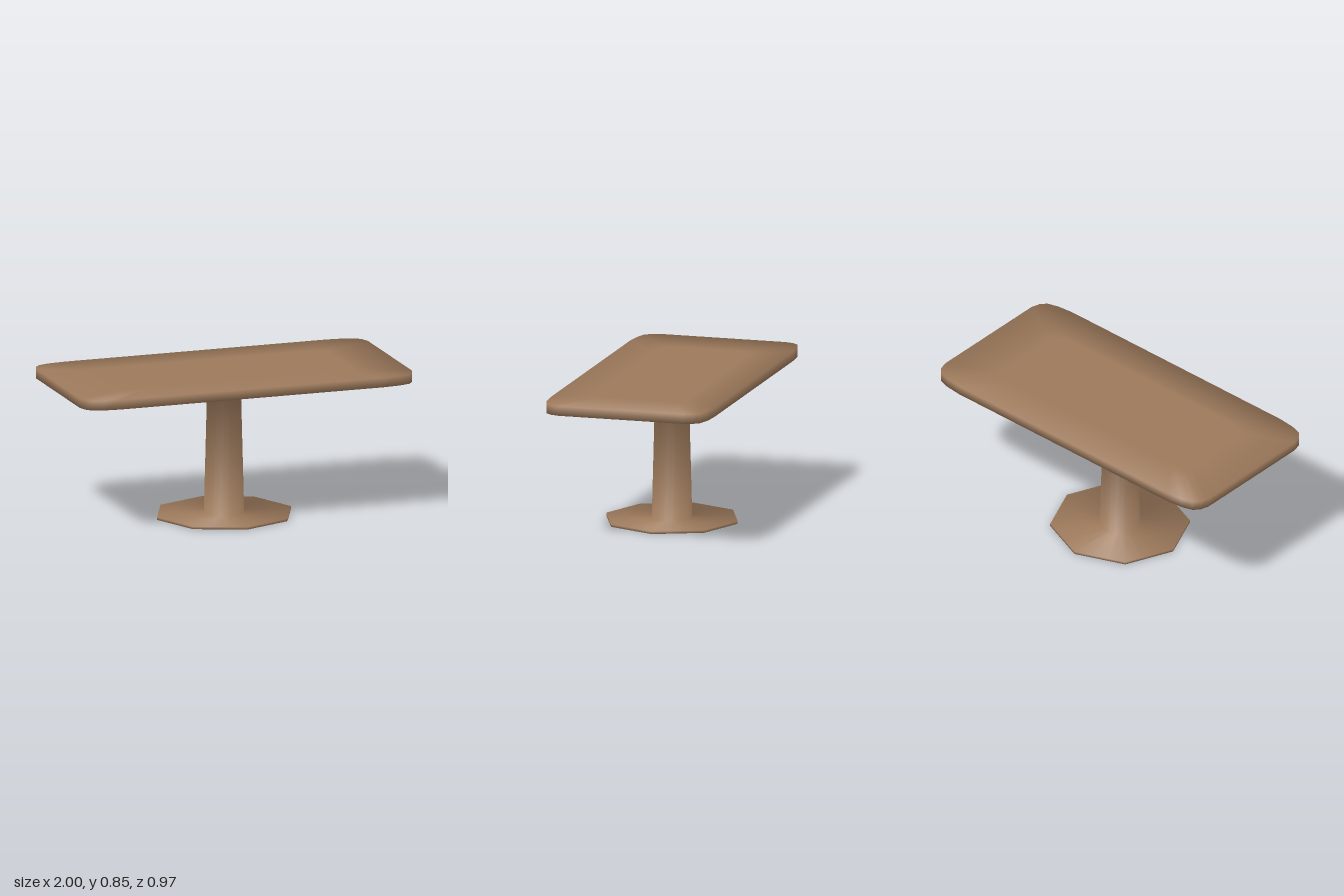
import * as THREE from 'three';

const COUNT = 24; // points round every cross-section
const rad = THREE.MathUtils.degToRad;

// Cross-section outlines: [x, z, direction of the outward normal in degrees]
function circle(rx, rz = rx) {
  return Array.from({ length: COUNT }, (_, i) => {
    const a = rad(i * 15);
    return [rx * Math.cos(a), -rz * Math.sin(a), i * 15];
  });
}

function octagon(rx, rz) {
  return circle(rx, rz).map(([x, z, dir]) => {
    // pull the points between corners in to the straight sides
    const k = Math.cos(rad(22.5)) / Math.cos(rad((dir % 45) - 22.5));
    return [x * k, z * k, dir];
  });
}

// Softly rounded rectangle, from a quarter mirrored into four
function roundedSlab(sx = 1, sz = 1) {
  const quarter = [
    [1, 0, 0], [1, 0.37, 5], [0.985, 0.42, 25],
    [0.955, 0.455, 45], [0.89, 0.475, 65], [0.79, 0.485, 85], [0, 0.485, 90],
  ];
  return Array.from({ length: COUNT }, (_, i) => {
    const q = Math.floor(i / 6), k = i % 6;
    const [x, z, d] = quarter[q % 2 ? 6 - k : k];
    const signX = q === 1 || q === 2 ? -1 : 1;
    const signZ = q < 2 ? -1 : 1;
    const dir = [d, 180 - d, 180 + d, 360 - d][q];
    return [signX * x * sx, signZ * z * sz, dir];
  });
}

// Join rings [outline, height, upward tilt of normals] into a smooth skin
function loft(name, material, rings) {
  const pos = [], nor = [], index = [];
  for (const [outline, y, tilt] of rings) {
    const up = Math.sin(rad(tilt)), out = Math.cos(rad(tilt));
    for (const [x, z, dir] of outline) {
      pos.push(x, y, z);
      nor.push(out * Math.cos(rad(dir)), up, -out * Math.sin(rad(dir)));
    }
  }
  for (let r = 0; r < rings.length - 1; r++) {
    for (let i = 0; i < COUNT; i++) {
      const j = (i + 1) % COUNT;
      const a = r * COUNT + i, b = r * COUNT + j;
      index.push(a, b, b + COUNT, a, b + COUNT, a + COUNT);
    }
  }
  const geometry = new THREE.BufferGeometry();
  geometry.setAttribute('position', new THREE.Float32BufferAttribute(pos, 3));
  geometry.setAttribute('normal', new THREE.Float32BufferAttribute(nor, 3));
  geometry.setIndex(index);
  const mesh = new THREE.Mesh(geometry, material);
  mesh.name = name;
  return mesh;
}

export function createModel() {
  const group = new THREE.Group();
  group.name = 'pedestalTable';
  const wood = new THREE.MeshStandardMaterial({ color: 0x9c795b });
  wood.name = 'brown wood';

  const foot = octagon(0.403, 0.39);
  const stemBottom = circle(0.115), stemTop = circle(0.095);
  const slab = roundedSlab();

  // thin eight-sided foot plate
  group.add(loft('footPlate', wood, [
    [circle(0), 0, -90], [foot, 0, -45], [foot, 0.015, 45], [stemBottom, 0.015, 45],
  ]));

  // tapered column, blending into the plates at both ends
  group.add(loft('column', wood, [
    [stemBottom, 0.015, 45], [stemTop, 0.79, -45],
  ]));

  // table top with softened edges
  group.add(loft('tableTop', wood, [
    [stemTop, 0.79, -45], [slab, 0.79, -45], [slab, 0.845, 45],
    [roundedSlab(0.7, 0.55), 0.845, 90], [circle(0), 0.845, 90],
  ]));
  return group;
}
